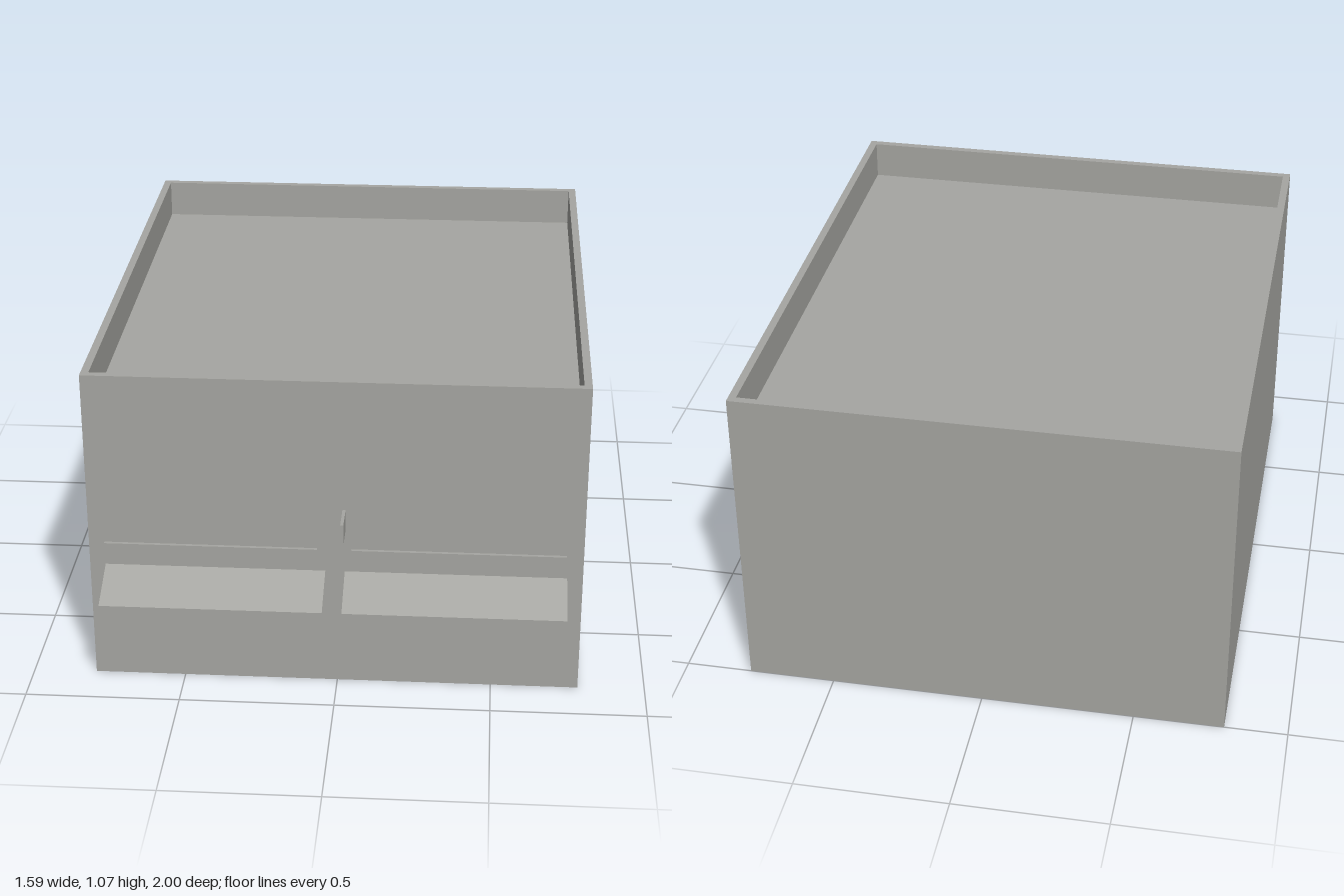
import * as THREE from 'three';

const X0 = -0.795, X1 = 0.783, Z0 = -1, Z1 = 0.845, H = 1.068;

// Flat-shaded surface made of four-cornered faces
function quads(list) {
  const pos = list.flatMap(([a, b, c, d]) => [a, b, c, a, c, d]).flat();
  const geo = new THREE.BufferGeometry();
  geo.setAttribute('position', new THREE.Float32BufferAttribute(pos, 3));
  geo.computeVertexNormals();
  return geo;
}

// Rectangle of corners at height y, inset from the outer walls
const ring = (y, inset) => [
  [X0 + inset, y, Z1 - inset], [X1 - inset, y, Z1 - inset],
  [X1 - inset, y, Z0 + inset], [X0 + inset, y, Z0 + inset],
];

export function createModel() {
  const group = new THREE.Group();
  const grey = new THREE.MeshStandardMaterial({ color: 0xa6a6a2, side: THREE.DoubleSide });
  grey.name = 'concrete grey';

  const add = (name, geo) => {
    const mesh = new THREE.Mesh(geo, grey);
    mesh.name = name;
    group.add(mesh);
  };
  const addBox = (name, [x0, x1], [y0, y1], [z0, z1]) => add(name,
    new THREE.BoxGeometry(x1 - x0, y1 - y0, z1 - z0)
      .translate((x0 + x1) / 2, (y0 + y1) / 2, (z0 + z1) / 2));

  // Building shell, open below: walls, parapet rim, parapet inside, sunken roof
  const rings = [ring(0, 0), ring(H, 0), ring(H, 0.025), ring(0.94, 0.025)];
  const faces = [rings[3]];
  for (let r = 0; r < 3; r++) {
    for (let i = 0; i < 4; i++) {
      const j = (i + 1) % 4;
      faces.push([rings[r][i], rings[r][j], rings[r + 1][j], rings[r + 1][i]]);
    }
  }
  add('buildingShell', quads(faces));

  // Two shop fronts: sign board above a sloping awning with a hanging lip
  for (const [side, sign, awning] of [
    ['right', [-0.745, -0.063], [-0.745, -0.037]],
    ['left', [0.047, 0.729], [0.025, 0.733]],
  ]) {
    addBox(side + 'SignBoard', sign, [0.413, 0.487], [Z1, 0.856]);
    const profile = [[0.306, 1], [0.34, 1], [0.406, Z1]];
    const [a, b] = awning;
    add(side + 'Awning', quads([0, 1].map((i) => {
      const [y, z] = profile[i], [y2, z2] = profile[i + 1];
      return [[a, y, z], [b, y, z], [b, y2, z2], [a, y2, z2]];
    })));
  }

  // Projecting sign between the shops, and the sign on the side wall
  addBox('projectingSign', [0.02, 0.03], [0.57, 0.64], [0.87, 0.972]);
  addBox('sideWallSign', [X1, 0.795], [0.8, 0.892], [0.032, 0.45]);

  return group;
}
